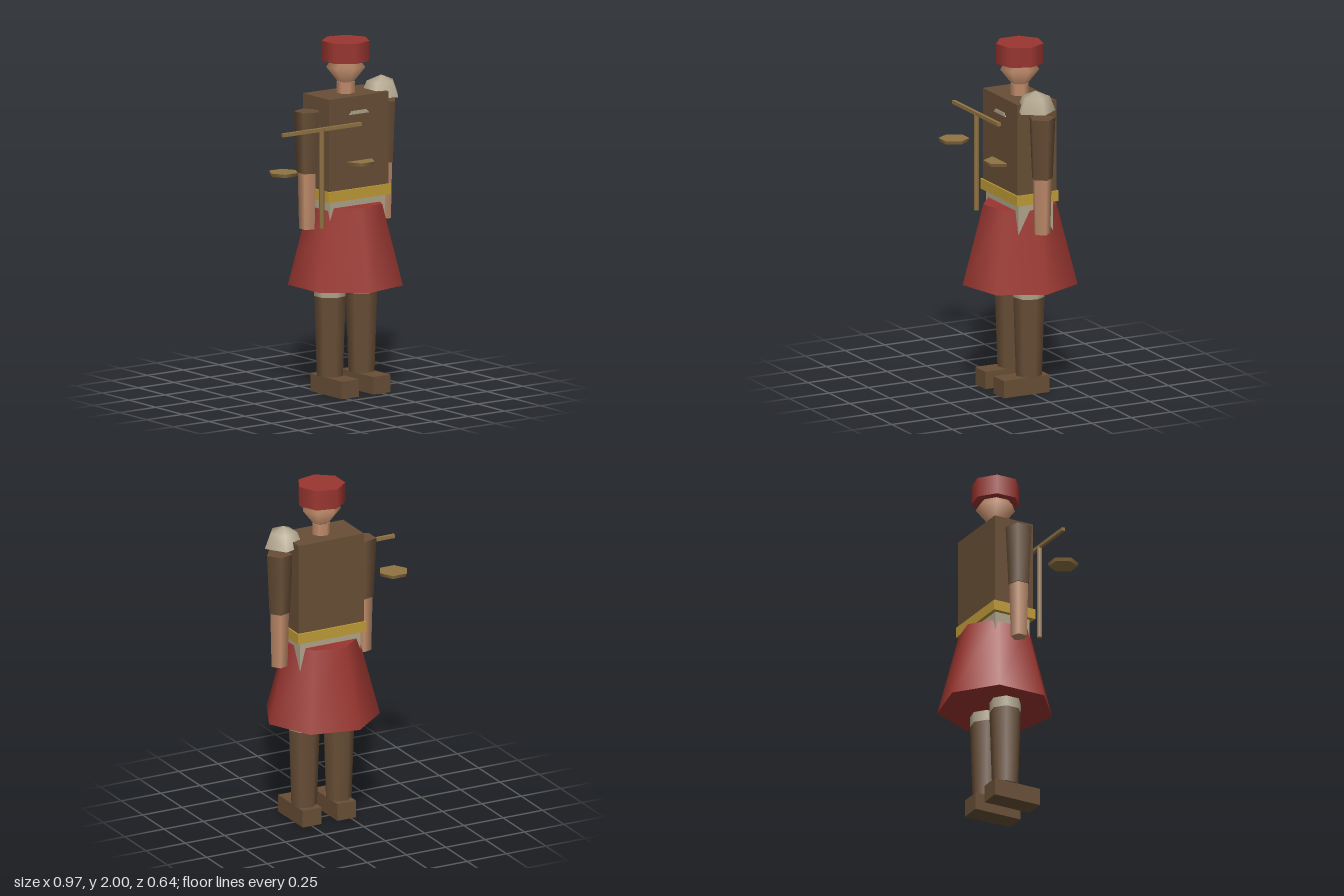
import * as THREE from 'three';

export function createModel() {
  const model = new THREE.Group();
  const paint = (name, color) => {
    const m = new THREE.MeshStandardMaterial({ color });
    m.name = name;
    return m;
  };
  const red = paint('red cloth', 0x9a3630);
  const brown = paint('brown leather', 0x684e36);
  const skin = paint('skin', 0xc08c6b);
  const gold = paint('gold', 0xbf9b37);
  const wood = paint('wood', 0x907343);
  const linen = paint('pale linen', 0xb0a48c);

  const CX = 0.138; // the figure's own centre line

  const add = (name, geometry, material, x = 0, y = 0, z = 0) => {
    const mesh = new THREE.Mesh(geometry, material);
    mesh.name = name;
    mesh.position.set(x, y, z);
    model.add(mesh);
    return mesh;
  };
  const box = (name, mat, w, y0, y1, z0, z1, x) =>
    add(name, new THREE.BoxGeometry(w, y1 - y0, z1 - z0), mat, x, (y0 + y1) / 2, (z0 + z1) / 2);
  // Tapered prism with one corner pointing to +x
  const prism = (name, mat, sides, rTop, rBottom, y0, y1, x, z = 0) =>
    add(name, new THREE.CylinderGeometry(rTop, rBottom, y1 - y0, sides, 1, false, Math.PI / 2),
      mat, x, (y0 + y1) / 2, z);
  const lathe = (name, mat, sides, points, x, y, z) =>
    add(name, new THREE.LatheGeometry(points.map(p => new THREE.Vector2(...p)), sides, Math.PI / 2),
      mat, x, y, z);

  // Legs, boots and arms
  for (const [side, s] of [['left', 1], ['right', -1]]) {
    const lx = CX + s * 0.11;
    box(side + 'Foot', brown, 0.12, 0, 0.1, -0.1, 0.19, lx);
    prism(side + 'Boot', brown, 7, 0.09, 0.075, 0.1, 0.555, lx);
    prism(side + 'Trouser', linen, 7, 0.092, 0.09, 0.555, 0.7, lx);

    const ax = CX + s * 0.266;
    prism(side + 'Sleeve', brown, 5, 0.077, 0.061, 1.275, 1.625, ax);
    prism(side + 'Forearm', skin, 5, 0.056, 0.048, 0.955, 1.29, ax);
  }

  // Body
  prism('skirt', red, 7, 0.21, 0.33, 0.615, 1.075, CX);
  box('hips', linen, 0.385, 0.9, 1.12, -0.11, 0.11, CX);
  box('belt', gold, 0.435, 1.115, 1.175, -0.132, 0.132, CX);
  box('torso', brown, 0.416, 1.17, 1.7, -0.122, 0.122, CX);

  // Pale collar clasp on the chest
  const clasp = new THREE.Shape([[-0.07, 0], [0.07, 0], [0.05, 0.02], [-0.05, 0.02]]
    .map(p => new THREE.Vector2(...p)));
  add('chestClasp', new THREE.ExtrudeGeometry(clasp, { depth: 0.006, bevelEnabled: false }),
    linen, CX, 1.598, 0.121);

  // Head and cap
  prism('neck', skin, 7, 0.052, 0.052, 1.68, 1.765, CX);
  lathe('head', skin, 7, [[0, -0.145], [0.113, 0], [0, 0.14]], CX, 1.85, 0);
  prism('cap', red, 7, 0.137, 0.137, 1.885, 2, CX);

  // Domed shoulder guard on the left
  lathe('shoulderGuard', linen, 5, [[0.115, 0], [0.081, 0.083], [0, 0.117]], 0.368, 1.66, 0.022);
  const under = new THREE.CircleGeometry(0.115, 5);
  under.rotateX(Math.PI / 2);
  add('shoulderGuardBase', under, linen, 0.368, 1.66, 0.022);

  // Balance scale in front of the right arm
  const px = -0.128;
  const pz = 0.132;
  add('scalePost', new THREE.CylinderGeometry(0.016, 0.016, 0.56, 6), wood, px, 1.26, pz);
  box('scaleBeam', wood, 0.545, 1.53, 1.55, pz - 0.01, pz + 0.01, px);
  for (const s of [-1, 1]) {
    prism(s > 0 ? 'leftPan' : 'rightPan', wood, 6, 0.087, 0.08, 1.312, 1.332, px + s * 0.267, pz);
  }

  return model;
}
